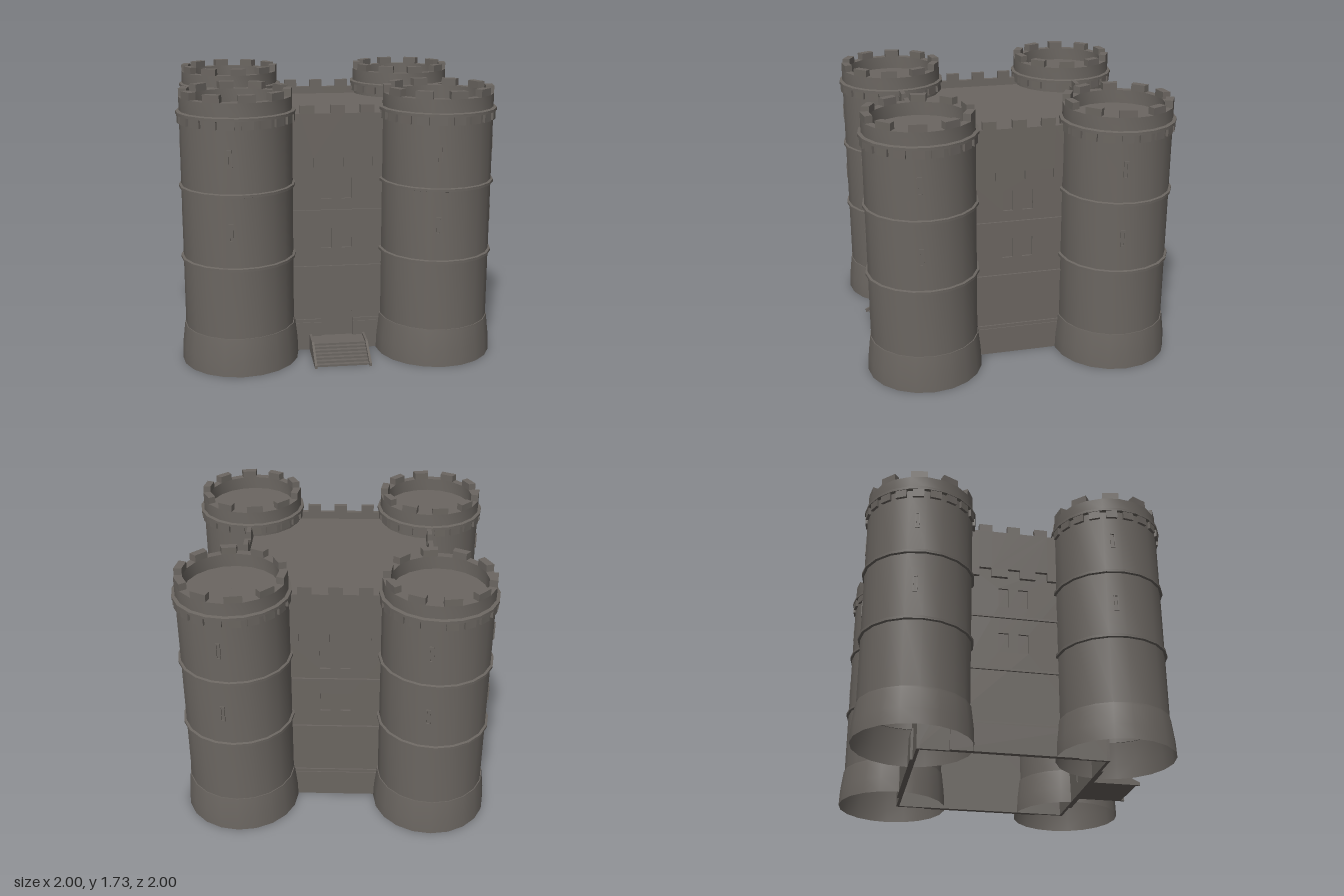
import * as THREE from 'three';
import { toCreasedNormals } from 'three/addons/utils/BufferGeometryUtils.js';

const SIDES = 20;          // facets of each tower
const STEP = Math.PI * 2 / SIDES;
const TOWER = 0.628;       // tower centre offset in x and z

export function createModel() {
  const stone = new THREE.MeshStandardMaterial({ color: 0x6b6661, side: THREE.DoubleSide });
  stone.name = 'stone';

  const add = (parent, name, geometry, x = 0, y = 0, z = 0) => {
    const mesh = new THREE.Mesh(geometry, stone);
    mesh.name = name;
    mesh.position.set(x, y, z);
    parent.add(mesh);
    return mesh;
  };
  const box = (parent, name, w, h, d, x, y, z) =>
    add(parent, name, new THREE.BoxGeometry(w, h, d), x, y, z);
  const polygon = pts => new THREE.Shape(pts.map(p => new THREE.Vector2(...p)));
  const rect = (x0, x1, y0, y1) => polygon([[x0, y0], [x1, y0], [x1, y1], [x0, y1]]);
  const extrude = (shape, depth) =>
    new THREE.ExtrudeGeometry(shape, { depth, bevelEnabled: false, curveSegments: 10 });

  // Upright block following a stretch of a ring, angles measured from +z towards +x
  const ringBlock = (r0, r1, a0, a1, height) => {
    const at = (r, a) => [r * Math.sin(a), -r * Math.cos(a)];
    return extrude(polygon([at(r0, a0), at(r1, a0), at(r1, a1), at(r0, a1)]), height)
      .rotateX(-Math.PI / 2);
  };
  // Side profile given as (z, y), extruded across x and centred
  const sideProfile = (pts, width) =>
    extrude(polygon(pts), width).rotateY(-Math.PI / 2).translate(width / 2, 0, 0);

  const castle = new THREE.Group();
  castle.name = 'castle';

  // ---- Towers: one hollow turned shell with flared foot, string courses and parapet
  const ring = y => [[0.345, y - 0.012], [0.36, y - 0.008], [0.36, y + 0.008], [0.345, y + 0.012]];
  const profile = [
    [0.372, 0], [0.368, 0.1], [0.353, 0.225], [0.351, 0.24], [0.345, 0.24],
    ...ring(0.68), ...ring(1.135),
    [0.345, 1.578], [0.366, 1.581], [0.366, 1.598], [0.345, 1.603],
    [0.345, 1.685], [0.295, 1.685], [0.295, 1.6], [0.001, 1.6],
  ].map(p => new THREE.Vector2(...p));
  const shellGeometry = toCreasedNormals(new THREE.LatheGeometry(profile, SIDES), 0.4);

  // Narrow framed slit on the facet left of the given direction
  const addSlit = (tower, direction, y) => {
    const slit = new THREE.Group();
    slit.name = 'arrowSlit';
    slit.rotation.y = direction - STEP / 2;
    const r = 0.341;
    for (const s of [-1, 1]) box(slit, 'slitJamb', 0.007, 0.104, 0.016, s * 0.011, y, r);
    for (const s of [-1, 1]) box(slit, 'slitLintel', 0.029, 0.007, 0.016, 0, y + s * 0.05, r);
    tower.add(slit);
  };

  for (const sx of [-1, 1]) for (const sz of [-1, 1]) {
    const tower = new THREE.Group();
    tower.name = 'tower';
    tower.position.set(sx * TOWER, 0, sz * TOWER);
    add(tower, 'towerShell', shellGeometry);
    for (let i = 0; i < SIDES; i++) {
      const a = i * STEP;
      if (i % 2 === 0) add(tower, 'towerMerlon', ringBlock(0.295, 0.345, a, a + STEP, 0.045), 0, 1.685);
      add(tower, 'towerCorbel', ringBlock(0.33, 0.36, a + STEP * 0.18, a + STEP * 0.82, 0.053), 0, 1.53);
    }
    // slits look out on the two outward sides
    for (const y of [0.91, 1.36]) {
      addSlit(tower, sz > 0 ? 0 : Math.PI, y);
      addSlit(tower, sx * Math.PI / 2, y);
    }
    castle.add(tower);
  }

  // ---- Walls between the towers
  // Overhanging battlement: notched below (corbels) and above (merlons)
  const notches = [-0.19, 0, 0.185];
  const edge = (base, peak, half) => [
    [-0.4, base],
    ...notches.flatMap(c => [[c - half, base], [c - half, peak], [c + half, peak], [c + half, base]]),
    [0.4, base],
  ];
  const battlement = extrude(
    polygon([...edge(1.22, 1.28, 0.04), ...edge(1.56, 1.61, 0.044).reverse()]), 0.03);

  const doorway = () => {
    const arch = new THREE.Shape();
    arch.moveTo(-0.103, 0.085);
    arch.lineTo(0.103, 0.085);
    arch.lineTo(0.103, 0.23);
    arch.absarc(0, 0.23, 0.103, 0, Math.PI, false);
    arch.lineTo(-0.103, 0.085);
    return arch;
  };

  for (let side = 0; side < 4; side++) {
    const front = side === 0;
    const wall = new THREE.Group();
    wall.name = front ? 'frontWall' : 'wall';
    wall.rotation.y = side * Math.PI / 2;

    // wall face with recessed windows
    const face = rect(-0.6, 0.6, 0, 1.51);
    for (const y of [0.685, 1.01]) for (const x of [-0.068, 0.062]) {
      face.holes.push(rect(x - 0.033, x + 0.033, y, y + 0.133));
      add(wall, 'windowPane', new THREE.PlaneGeometry(0.066, 0.133), x, y + 0.0665, 0.587);
    }
    if (front) {
      face.holes.push(doorway());
      add(wall, 'door', new THREE.ShapeGeometry(doorway(), 10), 0, 0, 0.587);
    }
    add(wall, 'wallFace', extrude(face, 0.02), 0, 0, 0.58);
    add(wall, 'battlement', battlement, 0, 0, 0.592);

    // string courses and stepped plinth, left open at the door
    for (const y of [0.56, 0.932]) box(wall, 'stringCourse', 0.8, 0.015, 0.02, 0, y, 0.602);
    const spans = front ? [[-0.4, -0.103], [0.103, 0.4]] : [[-0.4, 0.4]];
    for (const [x0, x1] of spans) {
      box(wall, 'plinth', x1 - x0, 0.185, 0.02, (x0 + x1) / 2, 0.0925, 0.606);
      box(wall, 'plinthCap', x1 - x0, 0.02, 0.014, (x0 + x1) / 2, 0.195, 0.603);
    }
    castle.add(wall);
  }

  // ---- Flat roof behind the battlements
  add(castle, 'roof', new THREE.PlaneGeometry(1.2, 1.2).rotateX(-Math.PI / 2), 0, 1.51, 0);

  // ---- Entrance stairs with sloping side walls
  const stairs = new THREE.Group();
  stairs.name = 'stairs';
  const steps = 7, rise = 0.09 / steps, tread = 0.027;
  const stepLine = [[0.6, 0], [0.6, 0.09]];
  for (let i = 0; i < steps; i++) {
    const z = 0.745 + i * tread;
    stepLine.push([z, 0.09 - i * rise], [z, 0.09 - (i + 1) * rise]);
  }
  add(stairs, 'steps', sideProfile(stepLine, 0.33));
  const cheek = [[0.6, 0], [0.6, 0.105], [0.75, 0.105], [0.932, 0.02], [0.932, 0]];
  for (const s of [-1, 1]) add(stairs, 'stairSideWall', sideProfile(cheek, 0.015), s * 0.1725);
  castle.add(stairs);

  return castle;
}
